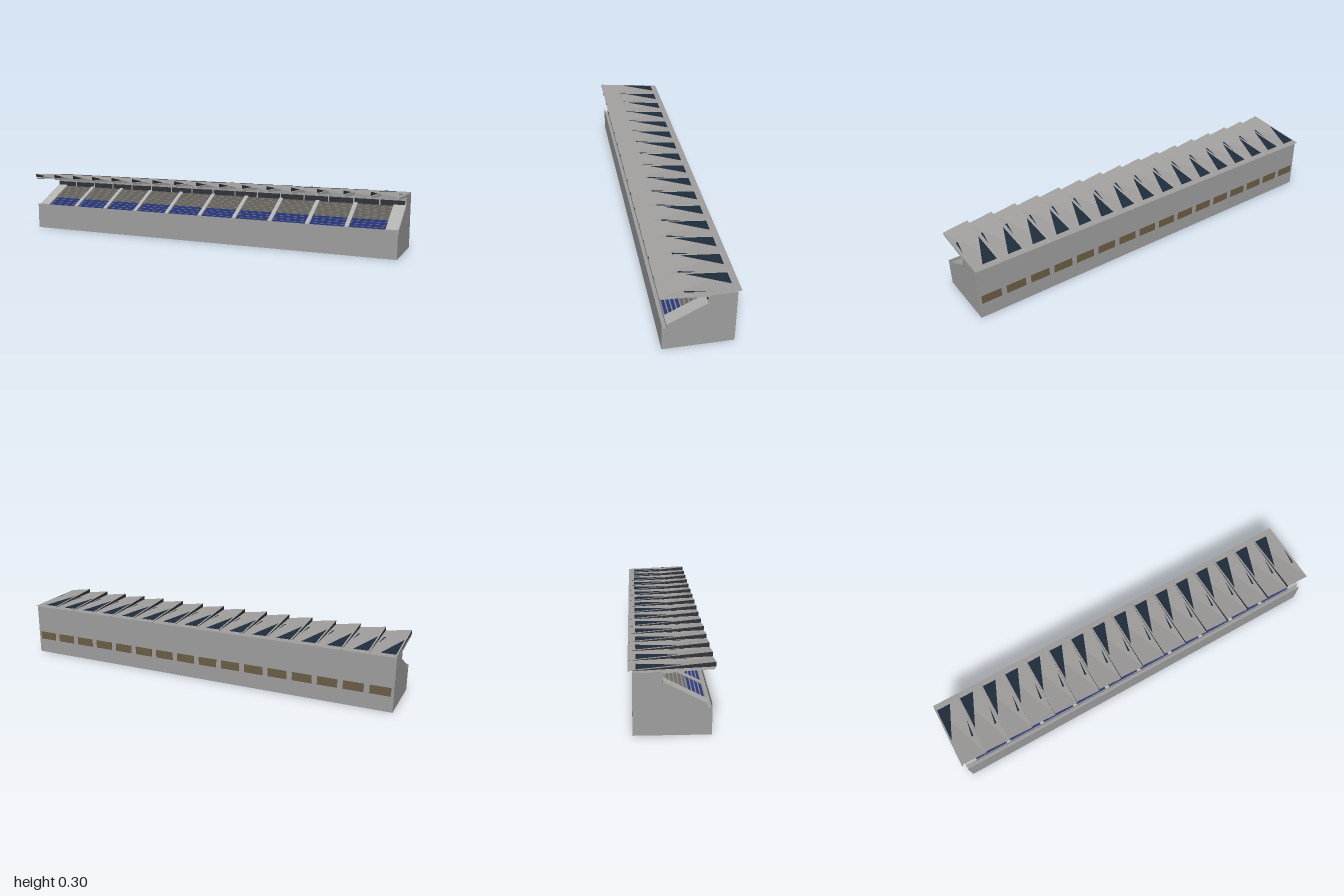
import * as THREE from 'three';

const mat = (name, color, side = THREE.FrontSide) => {
  const m = new THREE.MeshStandardMaterial({ color, side });
  m.name = name;
  return m;
};

export function createModel() {
  const wall = mat('wall grey', 0xa0a0a0, THREE.DoubleSide);
  const roofGrey = mat('roof grey', 0xa09f9d, THREE.DoubleSide);
  const pale = mat('pale concrete', 0xb0b0ae);
  const step = mat('step grey', 0x8c8a86);
  const blue = mat('seat blue', 0x2a3a80);
  const seatGrey = mat('seat grey', 0x6f6c66);
  const glass = mat('roof glass', 0x1f2d3c, THREE.DoubleSide);
  const dark = mat('charcoal', 0x33343a, THREE.DoubleSide);
  const brown = mat('window brown', 0x6b5f45);

  const model = new THREE.Group();
  model.name = 'grandstand';
  const add = (name, geo, material, parent = model) => {
    const mesh = new THREE.Mesh(geo, material);
    mesh.name = name;
    parent.add(mesh);
    return mesh;
  };
  const group = (name) => {
    const g = new THREE.Group();
    g.name = name;
    model.add(g);
    return g;
  };
  // box given by its limits on each axis
  const box = (name, x0, x1, y0, y1, z0, z1, material, parent) => {
    const geo = new THREE.BoxGeometry(x1 - x0, y1 - y0, z1 - z0);
    geo.translate((x0 + x1) / 2, (y0 + y1) / 2, (z0 + z1) / 2);
    return add(name, geo, material, parent);
  };
  // side profile of [z, y] points, extruded from x0 to x1
  const profile = (name, pts, x0, x1, material, parent) => {
    const shape = new THREE.Shape(pts.map(([z, y]) => new THREE.Vector2(z, y)));
    const geo = new THREE.ExtrudeGeometry(shape, { depth: x1 - x0, bevelEnabled: false });
    geo.rotateY(-Math.PI / 2).translate(x1, 0, 0);
    return add(name, geo, material, parent);
  };
  // flat polygon fan from [x, y, z] points
  const sheet = (name, pts, material, parent) => {
    const geo = new THREE.BufferGeometry();
    const tri = [];
    for (let i = 1; i < pts.length - 1; i++) tri.push(...pts[0], ...pts[i], ...pts[i + 1]);
    geo.setAttribute('position', new THREE.Float32BufferAttribute(tri, 3));
    geo.computeVertexNormals();
    return add(name, geo, material, parent);
  };

  // Hollow base, open below and divided into two rows of cells
  const T = 0.004, BACK = -0.155, FRONT = 0.16, MID = -0.037;
  const base = group('base');
  const side = [[BACK, 0], [FRONT, 0], [FRONT, 0.115], [0.14, 0.115], [0.14, 0.133],
    [MID, 0.225], [MID, 0.265], [BACK, 0.265]];
  profile('rightEndWall', side, -1, -1 + T, wall, base);
  profile('leftEndWall', side, 1 - T, 1, wall, base);
  box('frontWall', -1, 1, 0, 0.134, FRONT - 0.002, FRONT, wall, base);
  box('backWall', -1, 1, 0, 0.265, BACK, BACK + T, wall, base);
  box('walkway', -1, 1, 0.111, 0.115, 0.13, FRONT - 0.002, wall, base);
  box('cellCeiling', -1 + T, 1 - T, 0.107, 0.111, BACK + T, FRONT - 0.002, wall, base);
  box('spineWall', -1 + T, 1 - T, 0, 0.107, -0.002, 0.002, wall, base);
  for (let i = 1; i < 16; i++) {
    const x = -1 + i * 0.125;
    box('crossWall', x - 0.002, x + 0.002, 0, 0.107, BACK + T, FRONT - 0.002, wall, base);
  }

  // Upper gallery with a dark glazed band and slim posts
  const gallery = group('gallery');
  box('galleryRoom', -1 + T, 1 - T, 0.111, 0.265, BACK + T, MID, wall, gallery);
  box('galleryGlass', -1, 1, 0.218, 0.243, MID, MID + 0.003, dark, gallery);
  for (let i = 0; i < 17; i++) {
    const x = Math.min(0.997, Math.max(-0.997, -1 + i * 0.125));
    box('galleryPost', x - 0.003, x + 0.003, 0.218, 0.265, MID, MID + 0.005, pale, gallery);
  }

  // Back windows
  for (let i = 0; i < 16; i++) {
    const x = -0.9375 + i * 0.125;
    box('backWindow', x - 0.049, x + 0.049, 0.077, 0.119, BACK - 0.0015, BACK + 0.001, brown);
  }

  // Terrace: ten stepped rows, each with a bench of seats in every section
  const terrace = group('terrace');
  const ROWS = 10, rise = 0.092 / ROWS, run = 0.177 / ROWS, pitch = 0.19;
  for (let r = 0; r < ROWS; r++) {
    const zf = 0.14 - r * run, y = 0.126 + r * rise;
    box('terraceStep', -0.945, 0.945, 0.111, y, zf - run, zf, step, terrace);
    for (let s = 0; s < 10; s++) {
      const x = -0.95 + (s + 0.5) * pitch;
      const m = r < 4 ? blue : seatGrey;
      box('seatRow', x - 0.085, x + 0.085, y, y + 0.004, zf - run, zf - 0.006, m, terrace);
      box('seatBacks', x - 0.085, x + 0.085, y + 0.004, y + 0.009,
        zf - run, zf - run + 0.004, m, terrace);
    }
  }

  // Sloping aisles between the sections and wide blocks at both ends
  const ramp = [[MID, 0.111], [0.14, 0.111], [0.14, 0.133], [MID, 0.225]];
  for (let i = 1; i < 10; i++) {
    const x = -0.95 + i * pitch;
    profile('aisle', ramp, x - 0.01, x + 0.01, pale, terrace);
  }
  profile('rightEndBlock', ramp, -1 + T, -0.94, pale, terrace);
  profile('leftEndBlock', ramp, 0.94, 1 - T, pale, terrace);

  // Sawtooth roof: sixteen twisted panels, high on one front corner
  const roof = group('roof');
  const W = 0.125, Z0 = -0.172, Z1 = 0.172;
  const height = (u, z) => 0.27 + ((z - Z0) / (Z1 - Z0)) * (0.034 - 0.019 * u / W);
  const beam = [[-0.15, 0.265], [MID, 0.259], [0.05, 0.265], [0.05, 0.268],
    [0.168, 0.274], [0.168, 0.283], [-0.15, 0.271]];
  for (let i = 0; i < 16; i++) {
    const x = -1 + i * W;
    // point on the panel, lifted a little for inlays
    const on = (u, z, lift = 0) => [x + u, height(u, z) + lift, z];
    sheet('roofPanel', [on(0, Z0), on(0, Z1), on(W, Z1), on(W, Z0)], roofGrey, roof);
    // step face along the high edge
    sheet('roofStep', [on(0, Z0), [x, 0.27, Z0], [x, 0.285, Z1], on(0, Z1)], dark, roof);
    sheet('skylight', [on(0.008, -0.14, 0.0015), on(0.008, 0.04, 0.0015),
      on(0.078, -0.14, 0.0015)], glass, roof);
    sheet('skylightStrip', [on(0.115, -0.025, 0.0015), on(0.1, 0.065, 0.0015),
      on(0.11, 0.065, 0.0015)], glass, roof);
  }
  for (let i = 0; i < 17; i++) {
    const x = Math.min(0.996, Math.max(-0.996, -1 + i * W));
    profile('roofBeam', beam, x - 0.004, x + 0.004, pale, roof);
  }
  return model;
}
